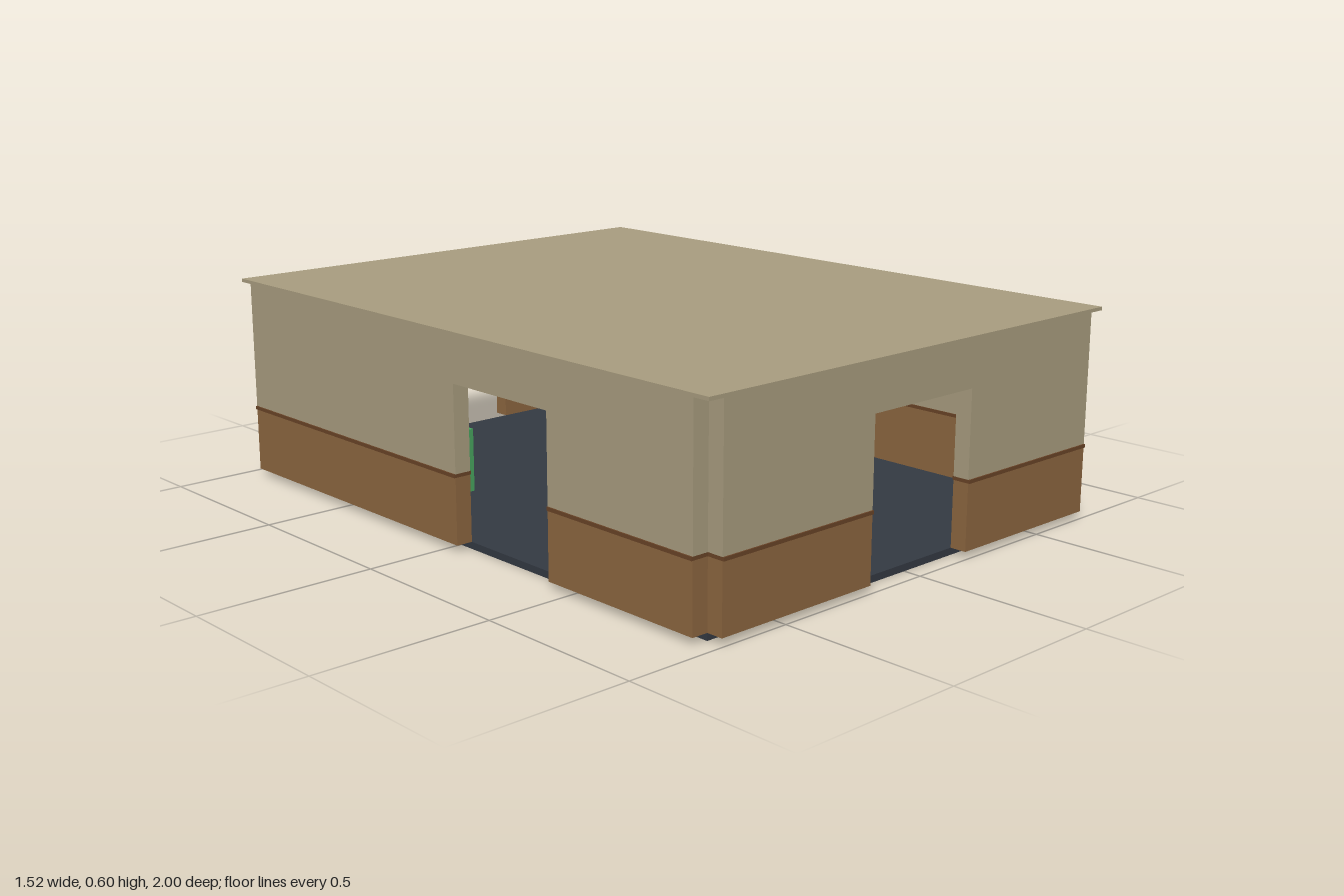
import * as THREE from 'three';

const mat = (name, color, extra = {}) => {
  const m = new THREE.MeshStandardMaterial({ color, ...extra });
  m.name = name;
  return m;
};

export function createModel() {
  const tan = mat('tan plaster', 0xaa9e80);
  const brown = mat('brown panelling', 0x8d6740);
  const darkBrown = mat('dark brown trim', 0x6a4427);
  const slate = mat('dark slate', 0x343a43);
  const grey = mat('light grey metal', 0xb4b8b8, { flatShading: true });
  const green = mat('green paint', 0x48a55f);

  const model = new THREE.Group();
  model.name = 'building';

  const add = (parent, name, geometry, material, x, y, z) => {
    const mesh = new THREE.Mesh(geometry, material);
    mesh.name = name;
    mesh.position.set(x, y, z);
    parent.add(mesh);
    return mesh;
  };
  // Box given by its lower and upper corners
  const box = (parent, name, material, [x0, y0, z0], [x1, y1, z1]) =>
    add(parent, name, new THREE.BoxGeometry(x1 - x0, y1 - y0, z1 - z0), material,
      (x0 + x1) / 2, (y0 + y1) / 2, (z0 + z1) / 2);

  const T = 0.048;          // wall thickness
  const BASE = 0.02, RAIL0 = 0.207, RAIL1 = 0.217, TOP = 0.59;
  const DOOR_HALF = 0.19, DOOR_TOP = 0.462;

  // One wall with a doorway, built along local x with its inner face at z = 0
  function wall(name, half, door, angle, distance) {
    const g = new THREE.Group();
    g.name = name;
    const l = door - DOOR_HALF, r = door + DOOR_HALF;
    for (const [a, b] of [[-half, l], [r, half]]) {
      box(g, 'lowerPanel', brown, [a, BASE, 0], [b, RAIL0, T]);
      box(g, 'trimRail', darkBrown, [a, RAIL0, -0.003], [b, RAIL1, T + 0.004]);
    }
    // Upper wall is one piece, bridging over the doorway
    const s = new THREE.Shape();
    [[-half, RAIL1], [l, RAIL1], [l, DOOR_TOP], [r, DOOR_TOP], [r, RAIL1], [half, RAIL1], [half, TOP], [-half, TOP]]
      .forEach(([x, y], i) => (i ? s.lineTo(x, y) : s.moveTo(x, y)));
    add(g, 'upperWall', new THREE.ExtrudeGeometry(s, { depth: T, bevelEnabled: false }), tan, 0, 0, 0);
    g.rotation.y = angle;
    g.position.set(Math.sin(angle) * distance, 0, Math.cos(angle) * distance);
    model.add(g);
  }
  wall('frontWall', 0.71, 0, 0, 0.948);
  wall('backWall', 0.71, 0, Math.PI, 0.948);
  wall('leftWall', 0.948, 0.24, Math.PI / 2, 0.71);
  wall('rightWall', 0.948, 0.24, -Math.PI / 2, 0.71);

  // Floor slab and flat roof
  box(model, 'floor', slate, [-0.71, 0, -0.948], [0.71, BASE, 0.948]);
  box(model, 'roof', tan, [-0.758, TOP, -0.997], [0.758, 0.6, 0.997]);

  // Storage tank inside
  add(model, 'tank', new THREE.CylinderGeometry(0.15, 0.15, 0.4, 12), grey, -0.4, BASE + 0.2, 0.63);

  // Low cabinet inside, with a round vent on its face
  box(model, 'cabinet', green, [-0.68, BASE, -0.6], [-0.42, RAIL0, -0.32]);
  const vent = add(model, 'vent', new THREE.CylinderGeometry(0.065, 0.065, 0.008, 24), slate, -0.417, 0.112, -0.46);
  vent.rotation.z = Math.PI / 2;

  return model;
}
